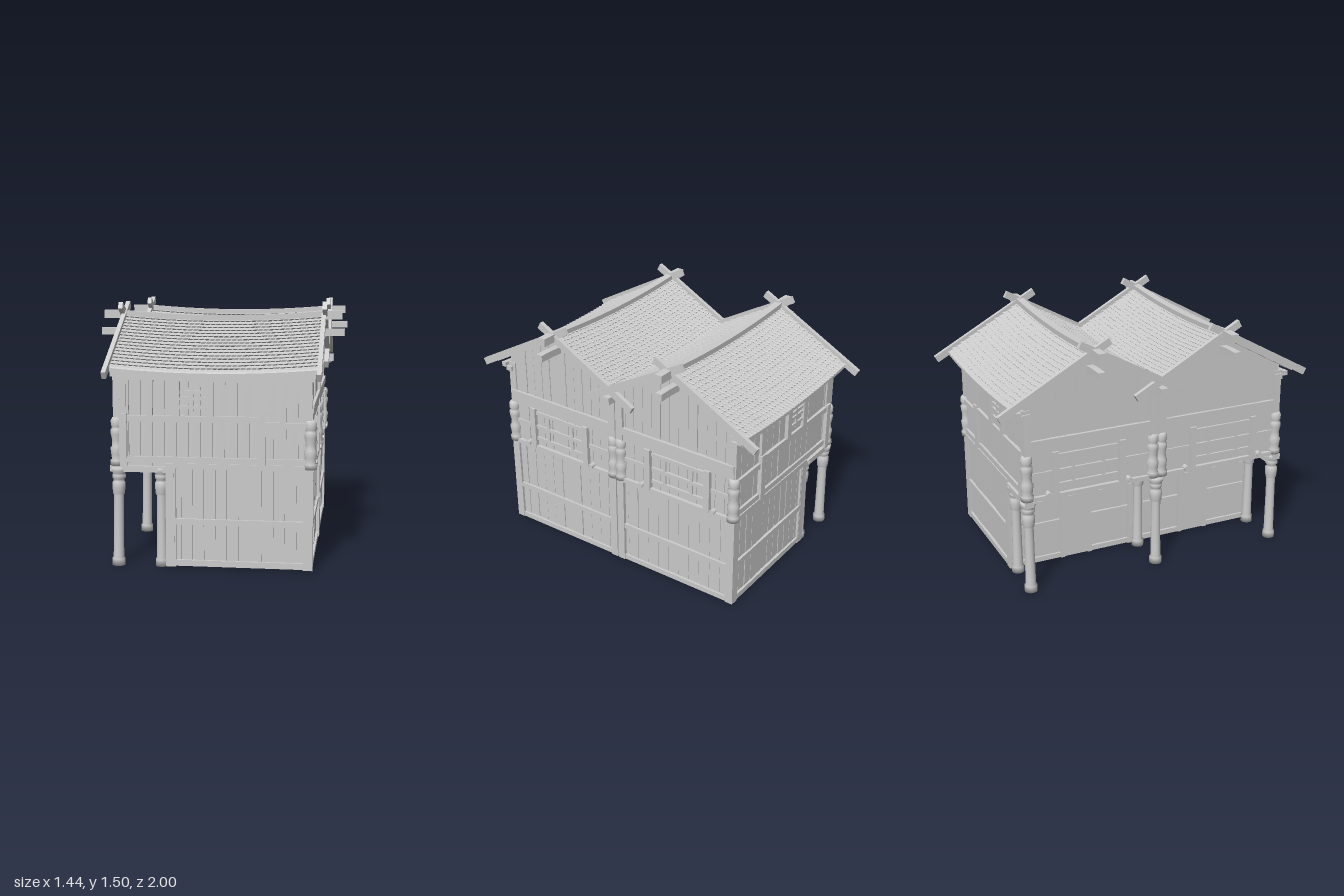
import * as THREE from 'three';
import { mergeGeometries } from 'three/addons/utils/BufferGeometryUtils.js';

const flat = new THREE.MeshStandardMaterial({ color: 0xcccccc, flatShading: true });
const smooth = new THREE.MeshStandardMaterial({ color: 0xcccccc });
const thin = new THREE.MeshStandardMaterial({ color: 0xcccccc, flatShading: true, side: THREE.DoubleSide });

const RIDGE_Z = 0.415, SLOPE = 0.555, HALF = 0.585;
let seed = 7;
const rnd = () => ((seed = (seed * 16807) % 2147483647) / 2147483647);
const jit = (a) => (rnd() - 0.5) * 2 * a;
const sag = (x) => 0.028 * Math.max(0, 1 - (x / 0.6) ** 2);
const roofY = (x, d) => 1.425 - SLOPE * d - sag(x);
const gableTop = (z) => 1.4 - SLOPE * Math.abs(Math.abs(z) - RIDGE_Z);

function add(parent, name, geo, mat = flat, x = 0, y = 0, z = 0) {
  const mesh = new THREE.Mesh(geo, mat);
  mesh.name = name;
  mesh.position.set(x, y, z);
  parent.add(mesh);
  return mesh;
}

// Box given by its limits in x and y, and its centre and depth in z
function bar(parent, name, x0, x1, y0, y1, z, depth) {
  const m = add(parent, name, new THREE.BoxGeometry(x1 - x0, y1 - y0, depth), flat, (x0 + x1) / 2, (y0 + y1) / 2, z);
  m.rotation.z = jit(0.002);
  return m;
}

// Row of upright planks whose tops follow a rule; local z = 0 is the outer face
function planks(parent, x0, x1, y0, top, width = 0.068) {
  const list = [], n = Math.max(1, Math.round((x1 - x0) / width)), w = (x1 - x0) / n;
  for (let i = 0; i < n; i++) {
    const a = x0 + i * w, g = new THREE.BoxGeometry(w - 0.003, 1, 0.02), p = g.attributes.position;
    const out = jit(0.0025), lean = jit(0.001);
    for (let k = 0; k < p.count; k++) {
      const x = p.getX(k) + a + w / 2, up = p.getY(k) > 0;
      p.setXYZ(k, x + (up ? lean : -lean), up ? top(x) : y0, p.getZ(k) - 0.01 + out);
    }
    g.computeVertexNormals();
    list.push(g);
  }
  // Thin backing behind the gaps
  const g = new THREE.BoxGeometry(x1 - x0, 1, 0.006, 2 * n), p = g.attributes.position;
  for (let k = 0; k < p.count; k++) {
    const x = p.getX(k) + (x0 + x1) / 2;
    p.setXYZ(k, x, p.getY(k) > 0 ? top(x) : y0, p.getZ(k) - 0.018);
  }
  g.computeVertexNormals();
  list.push(g);
  add(parent, 'planks', mergeGeometries(list));
}

function wallGroup(parent, name, angle, x, z) {
  const g = new THREE.Group();
  g.name = name;
  g.rotation.y = angle;
  g.position.set(x, 0, z);
  parent.add(g);
  return g;
}

// Eave wall; m mirrors it for the rear
function eaveWall(parent, name, angle, z, m) {
  const g = wallGroup(parent, name, angle, 0, z);
  const B = (n, a, b, y0, y1, zz, d) => bar(g, n, Math.min(a * m, b * m), Math.max(a * m, b * m), y0, y1, zz, d);
  const P = (a, b, y0, y1) => planks(g, Math.min(a * m, b * m), Math.max(a * m, b * m), y0, () => y1);
  P(-0.25, 0.54, 0.01, 0.6);
  P(-0.55, 0.55, 0.57, 1.11);
  B('sill', -0.25, 0.54, 0.01, 0.045, 0, 0.03);
  B('lowerRail', -0.23, 0.52, 0.25, 0.285, 0, 0.03);
  B('floorBeam', -0.27, 0.57, 0.575, 0.605, 0, 0.04);
  B('overhangBeam', -0.59, -0.22, 0.55, 0.585, -0.005, 0.05);
  B('upperSill', -0.5, 0.54, 0.605, 0.64, 0, 0.028);
  B('doorwayPost', -0.27, -0.222, 0.01, 0.6, -0.01, 0.055);
  B('panelPost', -0.533, -0.49, 0.57, 0.885, 0.005, 0.04);
  B('panelPost', 0.253, 0.297, 0.6, 0.89, 0.005, 0.04);
  B('middleRail', -0.5, 0.26, 0.84, 0.875, 0, 0.036);
  B('sideRail', 0.297, 0.54, 0.81, 0.845, 0, 0.03);
  B('upperPost', -0.232, -0.187, 0.87, 1.1, 0.002, 0.036);
  B('upperPost', -0.037, 0.007, 0.87, 1.095, 0.004, 0.04);
  B('upperPost', 0.256, 0.29, 0.885, 1.1, 0, 0.03);
  B('cornerPost', -0.57, -0.495, 0.86, 1.11, -0.01, 0.04);
  B('wallPlate', -0.57, 0.57, 1.075, 1.105, 0, 0.04);
  // Small window
  for (const y of [0.915, 0.965, 1.0]) B('windowBar', -0.187, -0.037, y, y + 0.018, 0.002, 0.022);
  B('windowUpright', -0.125, -0.108, 0.9, 1.075, 0, 0.022);
  for (const x of [-0.35, 0.14]) B('rafterEnd', x - 0.017, x + 0.017, 1.07, 1.1, 0.02, 0.05);
}

// Twin-gabled wall, upper storey
function gableWall(parent, name, angle, x) {
  const g = wallGroup(parent, name, angle, x, 0);
  planks(g, -0.83, 0, 0.58, gableTop, 0.064);
  planks(g, 0, 0.83, 0.58, gableTop, 0.064);
  bar(g, 'floorBeam', -0.84, 0.84, 0.575, 0.602, 0, 0.045);
  for (const s of [-1, 1]) {
    const B = (n, a, b, y0, y1, z, d) => bar(g, n, Math.min(a * s, b * s), Math.max(a * s, b * s), y0, y1, z, d);
    B('gableBeam', 0.03, 0.83, 0.9, 0.945, 0, 0.036);
    B('middleRail', 0.03, 0.83, 0.855, 0.9, 0, 0.024);
    for (const u of [0.235, 0.655]) B('windowPost', u - 0.02, u + 0.02, 0.59, 0.862, 0.008, 0.036);
    for (const y of [0.64, 0.725, 0.82]) B('windowBar', 0.26, 0.64, y, y + 0.022, 0.002, 0.022);
    for (const u of [0.35, 0.54]) B('windowUpright', u - 0.01, u + 0.01, 0.64, 0.83, 0, 0.022);
    B('shortRail', 0.06, 0.22, 0.72, 0.745, 0, 0.02);
    B('shortRail', 0.675, 0.8, 0.72, 0.745, 0, 0.02);
    B('upperPost', 0.003, 0.052, 0.85, 1.15, 0, 0.036);
    B('upperPost', 0.79, 0.84, 0.85, 1.13, -0.008, 0.03);
    for (const u of [0.19, 0.7]) {
      const c = add(g, 'logEnd', new THREE.CylinderGeometry(0.016, 0.016, 0.05, 10), flat, u * s, 0.606, 0.01);
      c.rotation.x = Math.PI / 2;
    }
  }
}

// Turned posts
const lathe = (pts) => new THREE.LatheGeometry(pts.map(([r, y]) => new THREE.Vector2(r, y)), 16);
const columnGeo = lathe([[0, 0], [0.038, 0], [0.038, 0.04], [0.031, 0.046], [0.029, 0.24], [0.028, 0.415], [0.034, 0.42],
  [0.038, 0.46], [0.038, 0.485], [0.031, 0.492], [0.031, 0.505], [0.039, 0.512], [0.039, 0.53], [0.033, 0.536], [0.045, 0.55], [0.045, 0.575], [0, 0.575]]);
const carvedGeo = lathe([[0, 0.585], [0.038, 0.585], [0.038, 0.615], [0.03, 0.62], [0.034, 0.65], [0.038, 0.685], [0.03, 0.695],
  [0.028, 0.73], [0.035, 0.765], [0.036, 0.79], [0.029, 0.795], [0.029, 0.81], [0.034, 0.815], [0.034, 0.845], [0.025, 0.86], [0, 0.86]]);

// One roof slope: stepped courses of rounded tiles above a plain deck
function roofSlope(parent, ridgeZ, dir, length) {
  const rows = 17, cols = 37 * 4, pos = [], idx = [], step = length / rows;
  for (let i = 0; i < rows; i++) for (let e = 0; e < 2; e++) for (let c = 0; c <= cols; c++) {
    const x = -HALF + (2 * HALF * c) / cols;
    const bump = Math.abs(Math.sin((c / 4 + (i % 2) / 2) * Math.PI));
    const d = (i + e) * step + e * 0.014 * bump;
    pos.push(x, roofY(x, d) + (e ? 0.006 + 0.009 * bump : 0), ridgeZ + dir * d);
  }
  const n = cols + 1;
  for (let r = 0; r < rows * 2 - 1; r++) for (let c = 0; c < cols; c++) {
    const a = r * n + c, b = a + n;
    if (dir > 0) idx.push(a, b, a + 1, a + 1, b, b + 1);
    else idx.push(a, a + 1, b, a + 1, b + 1, b);
  }
  const tiles = new THREE.BufferGeometry();
  tiles.setAttribute('position', new THREE.Float32BufferAttribute(pos, 3));
  tiles.setIndex(idx);
  tiles.computeVertexNormals();
  add(parent, 'roofTiles', tiles, thin);
  const deck = new THREE.BoxGeometry(2 * HALF, 0.02, length, 14, 1, 1), p = deck.attributes.position;
  for (let k = 0; k < p.count; k++) {
    const d = p.getZ(k) + length / 2;
    p.setXYZ(k, p.getX(k), roofY(p.getX(k), d) - 0.014 + p.getY(k), ridgeZ + dir * d);
  }
  deck.computeVertexNormals();
  add(parent, 'roofDeck', deck, thin);
}

// Log along x that sags with the roof
function log(parent, name, half, y, z, size) {
  const g = new THREE.BoxGeometry(2 * half, size, size, 16, 1, 1), p = g.attributes.position;
  for (let k = 0; k < p.count; k++) p.setY(k, p.getY(k) - sag(p.getX(k)));
  g.computeVertexNormals();
  add(parent, name, g, flat, 0, y, z);
}

// Bargeboard between two (z, y) points
function barge(parent, x, z0, y0, z1, y1) {
  const m = add(parent, 'bargeboard', new THREE.BoxGeometry(0.026, 0.044, Math.hypot(z1 - z0, y1 - y0)), flat, x, (y0 + y1) / 2, (z0 + z1) / 2);
  m.rotation.x = -Math.atan2(y1 - y0, z1 - z0);
}

export function createModel() {
  const house = new THREE.Group();
  house.name = 'house';
  eaveWall(house, 'frontWall', 0, 0.83, 1);
  eaveWall(house, 'backWall', Math.PI, -0.83, -1);
  gableWall(house, 'rightGableWall', Math.PI / 2, 0.548);
  gableWall(house, 'leftGableWall', -Math.PI / 2, -0.552);

  // Ground storey side walls; the left one is set back behind the veranda
  for (const [x, angle, open] of [[0.548, Math.PI / 2, false], [-0.25, -Math.PI / 2, true]]) {
    const g = wallGroup(house, open ? 'verandaWall' : 'rightLowerWall', angle, x, 0);
    planks(g, -0.82, 0.82, 0.01, () => 0.58, 0.075);
    bar(g, 'sill', -0.82, 0.82, 0.008, 0.04, 0, 0.03);
    for (const s of [-1, 1]) {
      bar(g, 'lowerRail', s * 0.425 - 0.39, s * 0.425 + 0.39, 0.238, 0.27, 0, 0.03);
      bar(g, 'middlePost', s * 0.028 - 0.024, s * 0.028 + 0.024, 0.005, 0.6, 0, 0.04);
      bar(g, 'endPost', s * 0.82 - 0.026, s * 0.82 + 0.026, 0.005, 0.6, -0.01, 0.055);
      // Doors open onto the veranda
      if (open) {
        bar(g, 'door', s * 0.41 - 0.08, s * 0.41 + 0.08, 0.03, 0.44, -0.006, 0.05);
        for (const e of [-1, 1]) bar(g, 'doorJamb', s * 0.41 + e * 0.09 - 0.014, s * 0.41 + e * 0.09 + 0.014, 0.01, 0.46, -0.006, 0.066);
        bar(g, 'doorLintel', s * 0.41 - 0.12, s * 0.41 + 0.12, 0.44, 0.47, -0.006, 0.072);
      }
    }
  }

  // Upper floor, with joists over the veranda
  bar(house, 'upperFloor', -0.56, 0.54, 0.575, 0.595, 0, 1.65);
  for (let i = -4; i <= 4; i++) bar(house, 'joist', -0.58, -0.25, 0.55, 0.577, i * 0.19, 0.03);

  // Columns and carved posts
  for (const z of [-0.82, 0, 0.82]) {
    const outer = add(house, 'verandaColumn', columnGeo, smooth, -0.552, 0, z);
    outer.rotation.z = -0.015;
    add(house, 'innerColumn', columnGeo, smooth, -0.3, 0, z * 0.985);
  }
  for (const x of [-0.552, 0.548]) for (const z of [-0.825, -0.028, 0.028, 0.825]) add(house, 'carvedPost', carvedGeo, smooth, x, 0, z);

  // Twin roofs
  for (const s of [-1, 1]) {
    roofSlope(house, s * RIDGE_Z, s, 0.49);
    roofSlope(house, s * RIDGE_Z, -s, 0.415);
    log(house, 'ridgeLog', 0.705, 1.425, s * 0.418, 0.048);
    log(house, 'purlin', 0.72, 1.325, s * 0.43, 0.042);
    log(house, 'eavePurlin', 0.575, 1.115, s * 0.865, 0.03);
    for (const x of [-0.585, 0.598]) {
      barge(house, x, s * 0.32, 1.48, s * 0.99, 1.112);
      barge(house, x + Math.sign(x) * 0.008, s * 0.51, 1.48, s * -0.16, 1.112);
    }
  }
  log(house, 'valleyLog', 0.645, 1.142, 0, 0.044);
  return house;
}
